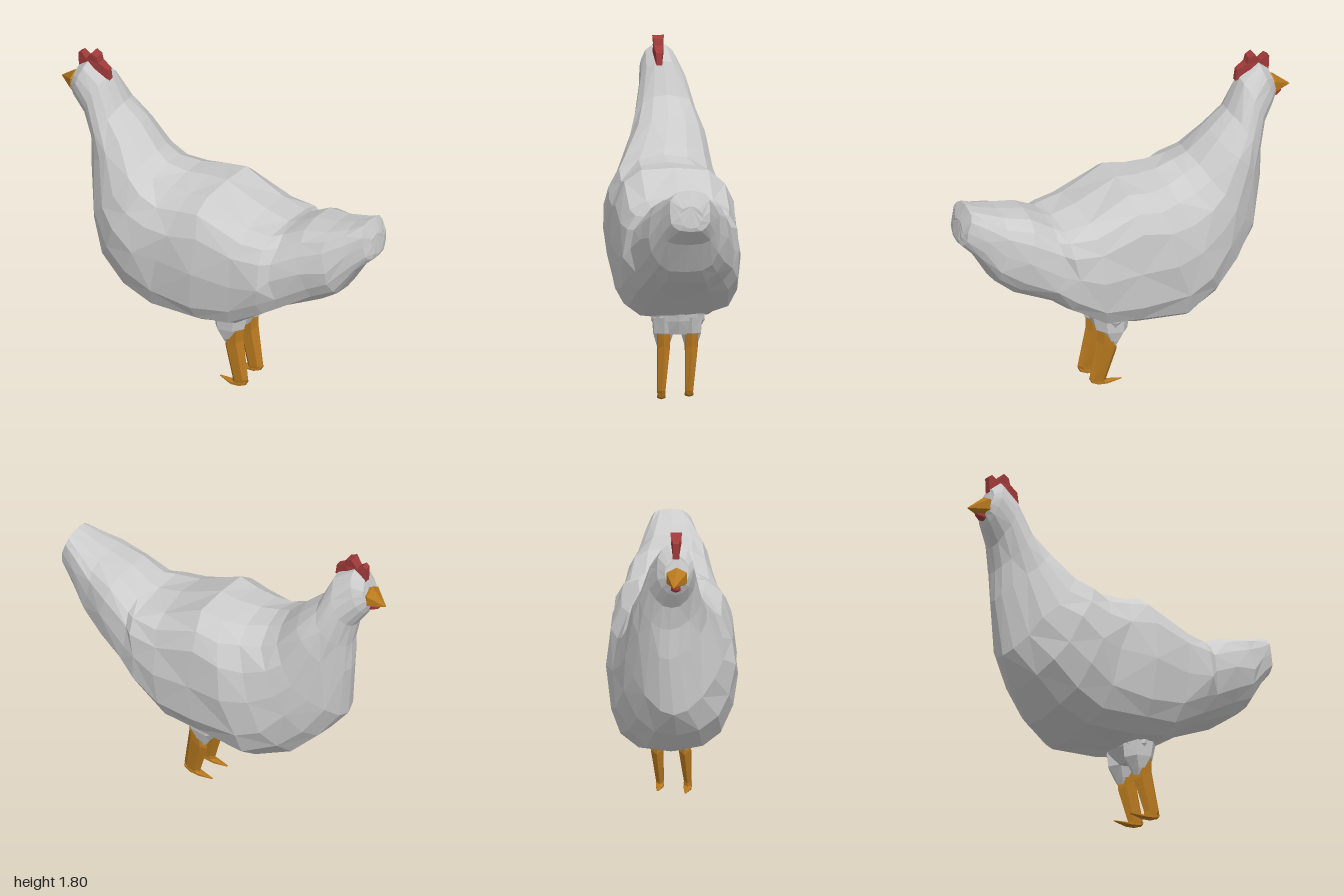
import * as THREE from 'three';

const material = (color) => new THREE.MeshStandardMaterial({ color, flatShading: true, side: THREE.DoubleSide });
const GREY = material(0xcccccc), ORANGE = material(0xb8791f), RED = material(0xa03a3a);

// Repeatable noise in -1..1
function makeNoise(seed) {
  let s = seed;
  return () => ((s = (s * 16807) % 2147483647) / 2147483647) * 2 - 1;
}

// Skin over rings, each spanning A to B in the xy plane:
// [xA, yA, xB, yB, halfWidth, zCentre, squareness = 2, egg = 0 (extra width towards A)]
function loft(name, rings, sides, mat, jitter = 0) {
  const noise = makeNoise(77), pos = [], index = [];
  const bend = (v, power) => Math.sign(v) * Math.pow(Math.abs(v), 2 / power);
  rings.forEach(([xa, ya, xb, yb, w, zc, power = 2, egg = 0], i) => {
    for (let j = 0; j < sides; j++) {
      const a = (j / sides) * Math.PI * 2;
      const c = bend(Math.cos(a), power), s = bend(Math.sin(a), power);
      const k = jitter * Math.min(1, w / 0.3) * Math.abs(s);
      pos.push(
        (xa + xb) / 2 + (c * (xa - xb)) / 2 + noise() * k,
        (ya + yb) / 2 + (c * (ya - yb)) / 2 + noise() * k,
        zc + s * w * (1 + egg * c) + noise() * k * 0.4);
    }
    if (i === 0) return;
    for (let j = 0; j < sides; j++) {
      const a = (i - 1) * sides + j, b = (i - 1) * sides + ((j + 1) % sides);
      const c = a + sides, d = b + sides;
      if ((i + j) % 2) index.push(a, b, c, b, d, c);
      else index.push(a, b, d, a, d, c);
    }
  });
  // End caps
  const last = (rings.length - 1) * sides;
  for (let j = 1; j < sides - 1; j++) {
    index.push(0, j + 1, j, last, last + j, last + j + 1);
  }
  const geo = new THREE.BufferGeometry();
  geo.setAttribute('position', new THREE.Float32BufferAttribute(pos, 3));
  geo.setIndex(index);
  geo.computeVertexNormals();
  const mesh = new THREE.Mesh(geo, mat);
  mesh.name = name;
  return mesh;
}

export function createModel() {
  const hen = new THREE.Group();
  hen.name = 'hen';

  // Head, neck, narrow breast, boxy back with folded wings, and tail as one skin
  hen.add(loft('body', [
    [-0.87, 1.70, -0.915, 1.53, 0.065, 0.035],
    [-0.81, 1.755, -0.89, 1.48, 0.10, 0.025],
    [-0.70, 1.68, -0.825, 1.385, 0.13, 0.005, 1.9],
    [-0.62, 1.51, -0.80, 1.25, 0.165, -0.005, 1.9, 0.15],
    [-0.51, 1.41, -0.80, 1.08, 0.20, -0.01, 1.9, 0.28],
    [-0.39, 1.29, -0.765, 0.75, 0.265, 0.015, 1.9, 0.25],
    [-0.31, 1.25, -0.64, 0.59, 0.315, 0.03, 2.1, 0.05],
    [-0.20, 1.23, -0.50, 0.45, 0.335, 0.015, 2.4],
    [-0.07, 1.24, -0.31, 0.38, 0.345, -0.01, 2.8],
    [0.04, 1.25, 0.0, 0.41, 0.34, -0.005, 3.1],
    [0.29, 1.15, 0.21, 0.47, 0.33, -0.015, 3.2],
    [0.43, 1.12, 0.40, 0.60, 0.315, -0.02, 3],
    [0.48, 1.14, 0.50, 0.65, 0.28, -0.025, 2.6],
    [0.60, 1.21, 0.70, 0.755, 0.235, -0.025, 2.6, 0.06],
    [0.75, 1.24, 0.81, 0.84, 0.195, -0.015, 2.7, 0.06],
    [0.86, 1.28, 0.91, 1.01, 0.15, -0.025, 2.8],
    [0.945, 1.32, 0.995, 1.10, 0.11, -0.03, 3],
    [0.985, 1.24, 1.0, 1.12, 0.06, -0.035],
  ], 16, GREY, 0.02));

  // Beak and wattle
  hen.add(loft('beak', [
    [-1.0, 1.565, -1.0, 1.56, 0.004, 0.02],
    [-0.905, 1.645, -0.905, 1.525, 0.065, 0.035],
    [-0.86, 1.63, -0.86, 1.53, 0.05, 0.035],
  ], 6, ORANGE));
  hen.add(loft('wattle', [
    [-0.955, 1.54, -0.95, 1.525, 0.012, 0.03],
    [-0.92, 1.55, -0.915, 1.505, 0.03, 0.03],
    [-0.88, 1.54, -0.885, 1.51, 0.025, 0.03],
  ], 6, RED));

  // Comb: three-lobed plate, thinner towards its ends
  const outline = [[-0.875, 1.68], [-0.88, 1.77], [-0.86, 1.785], [-0.825, 1.755], [-0.79, 1.805],
    [-0.755, 1.79], [-0.745, 1.755], [-0.69, 1.725], [-0.68, 1.66], [-0.78, 1.70]];
  const combGeo = new THREE.ExtrudeGeometry(
    new THREE.Shape(outline.map(([x, y]) => new THREE.Vector2(x, y))), { depth: 1, bevelEnabled: false });
  const p = combGeo.attributes.position;
  for (let i = 0; i < p.count; i++) {
    const t = Math.min(1, Math.abs(p.getX(i) + 0.785) / 0.105);
    p.setZ(i, 0.03 + (p.getZ(i) - 0.5) * (0.065 - 0.035 * t));
  }
  combGeo.computeVertexNormals();
  const comb = new THREE.Mesh(combGeo, RED);
  comb.name = 'comb';
  hen.add(comb);

  // Feathered rump joining both thighs
  hen.add(loft('rump', [
    [0.24, 0.54, -0.02, 0.50, 0.14, -0.02],
    [0.215, 0.44, -0.015, 0.41, 0.145, -0.02],
    [0.18, 0.36, 0.05, 0.34, 0.10, -0.02],
  ], 8, GREY));

  // Thigh, tapering shank and flat pointed foot on each side
  for (const [name, z, footZ, lift] of [['left', 0.06, 0.075, 0], ['right', -0.09, -0.075, 0.012]]) {
    const leg = new THREE.Group();
    leg.name = name + 'Leg';
    leg.add(loft('thigh', [
      [0.215, 0.46, 0.0, 0.43, 0.065, z],
      [0.195, 0.37, 0.01, 0.34, 0.06, z],
      [0.14, 0.30, 0.06, 0.28, 0.04, z],
      [0.12, 0.23, 0.09, 0.23, 0.012, z],
    ], 6, GREY));
    leg.add(loft('shank', [
      [0.19, 0.39, 0.08, 0.33, 0.042, z],
      [0.19, 0.30, 0.075, 0.22, 0.038, z],
      [0.23, 0.06, 0.13, 0.04, 0.024, footZ],
      [0.215, 0.02 + lift, 0.13, 0.015 + lift, 0.022, footZ],
    ], 6, ORANGE));
    leg.add(loft('foot', [
      [0.045, 0.016 + lift, 0.045, 0.012 + lift, 0.005, footZ - 0.01],
      [0.13, 0.022 + lift, 0.13, lift, 0.024, footZ],
      [0.19, 0.035 + lift, 0.18, 0.005 + lift, 0.026, footZ],
      [0.225, 0.05 + lift, 0.215, 0.02 + lift, 0.02, footZ],
    ], 6, ORANGE));
    hen.add(leg);
  }
  return hen;
}
